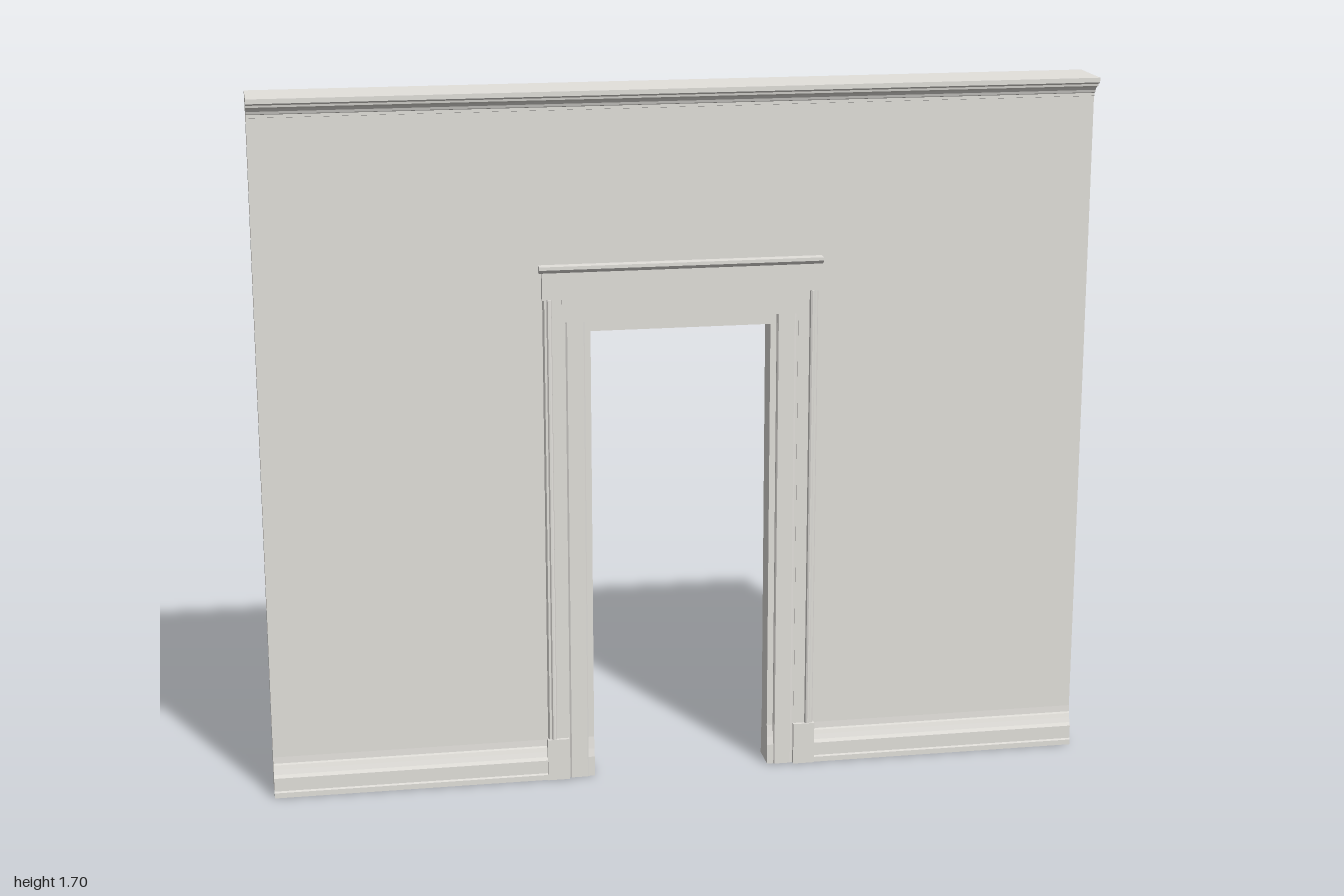
import * as THREE from 'three';

const plaster = new THREE.MeshStandardMaterial({ color: 0xe3e1dc });
plaster.name = 'pale warm grey plaster';

// Extrude a shape into a named mesh after turning it into place
function sweep(name, points, depth, place) {
  const shape = new THREE.Shape(points.map(([a, b]) => new THREE.Vector2(a, b)));
  const g = new THREE.ExtrudeGeometry(shape, { depth, bevelEnabled: false });
  place(g);
  const m = new THREE.Mesh(g, plaster);
  m.name = name;
  return m;
}

// Sweep a [z, y] half profile along x, mirrored front to back
function sweepX(name, half, x0, x1) {
  const back = half.map(([z, y]) => [-z, y]).reverse();
  return sweep(name, [...half, ...back], x1 - x0, (g) => g.rotateY(Math.PI / 2).translate(x0, 0, 0));
}

// Sweep a [z, x] half profile up y, mirrored front to back
function sweepY(name, half, y0, y1) {
  const front = half.map(([z, x]) => [x, z]);
  const back = half.map(([z, x]) => [x, -z]).reverse();
  return sweep(name, [...front, ...back], y1 - y0, (g) => g.rotateX(-Math.PI / 2).translate(0, y0, 0));
}

export function createModel() {
  const model = new THREE.Group();
  model.name = 'wallWithDoorway';
  const open = 0.217, openTop = 1.125, wall = 0.031, plinthX = 0.3;

  // Wall piers with the skirting moulded into their foot
  const pier = [[0.047, 0], [0.047, 0.013], [0.045, 0.017], [0.045, 0.05], [0.041, 0.058],
    [0.037, 0.07], [0.034, 0.08], [0.032, 0.084], [wall, 0.1], [wall, openTop]];
  model.add(sweepX('rightPier', pier, -1, -plinthX), sweepX('leftPier', pier, plinthX, 1));

  // Door jambs with a shallower foot
  const jamb = [[0.039, 0], [0.039, 0.05], [0.035, 0.07], [wall, 0.1], [wall, openTop]];
  model.add(sweepX('rightJamb', jamb, -plinthX, -open), sweepX('leftJamb', jamb, open, plinthX));

  // Wall above the doorway with the cornice
  const upper = [[wall, openTop], [wall, 1.651], [0.035, 1.652], [0.035, 1.659], [0.039, 1.661],
    [0.041, 1.667], [0.046, 1.673], [0.053, 1.677], [0.06, 1.679], [0.061, 1.684],
    [0.066, 1.686], [0.072, 1.689], [0.072, 1.7]];
  model.add(sweepX('upperWallAndCornice', upper, -1, 1));

  // Door casing, the same on both sides of the opening and both faces of the wall
  const fascia = [[0.038, 0.232], [0.042, 0.235], [0.042, 0.274], [0.039, 0.278], [0.039, 0.286]];
  const band = [[0.041, 0.283], [0.041, 0.31], [0.047, 0.312], [0.049, 0.316],
    [0.049, 0.32], [0.045, 0.323], [0.045, 0.328], [0.04, 0.331]];
  const plinth = [[0.05, 0.281], [0.05, 0.334]];
  for (const [side, s] of [['left', 1], ['right', -1]]) {
    // Mirrored profiles are reversed by the shape itself, so only x changes sign
    const flip = (p) => p.map(([z, x]) => [z, x * s]);
    model.add(
      sweepY(side + 'CasingFascia', flip(fascia), 0, 1.153),
      sweepY(side + 'CasingMoulding', flip(band), 0, 1.207),
      sweepY(side + 'PlinthBlock', flip(plinth), 0, 0.105),
    );
  }

  // Head of the casing: architrave, frieze and cap
  model.add(sweepX('architrave', [[0.043, 1.151], [0.043, 1.207]], -0.286, 0.286));
  model.add(sweepX('frieze', [[0.046, 1.206], [0.046, 1.274]], -0.333, 0.333));
  model.add(sweepX('headCap', [[0.047, 1.271], [0.051, 1.274], [0.057, 1.28], [0.057, 1.288]], -0.34, 0.34));

  return model;
}
